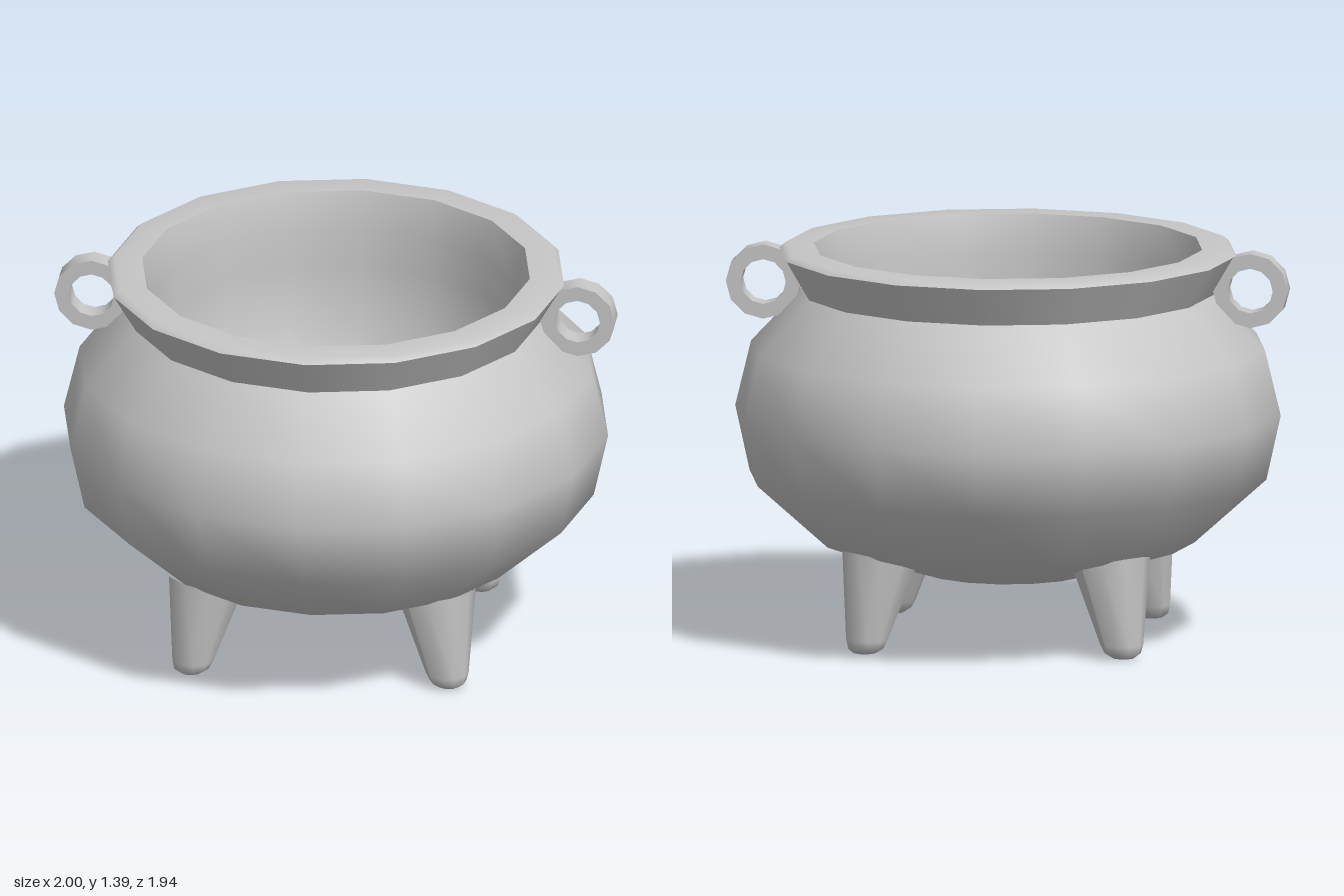
import * as THREE from 'three';
import { toCreasedNormals } from 'three/addons/utils/BufferGeometryUtils.js';

const SIDES = 16;

function lathe(points, sides = SIDES) {
  return new THREE.LatheGeometry(points.map(([r, y]) => new THREE.Vector2(r, y)), sides);
}

export function createModel() {
  const model = new THREE.Group();
  model.name = 'cauldron';
  const iron = new THREE.MeshStandardMaterial({ color: 0xc6c6c6 });
  iron.name = 'grey iron';

  function add(name, geometry) {
    const mesh = new THREE.Mesh(geometry, iron);
    mesh.name = name;
    model.add(mesh);
    return mesh;
  }

  // Pot: separate lathes keep the neck and rim edges sharp
  add('belly', lathe([[0, 0.208], [0.3, 0.235], [0.662, 0.347], [0.918, 0.577],
    [0.969, 0.808], [0.913, 1.04], [0.73, 1.235]]));
  add('flaredNeck', lathe([[0.73, 1.235], [0.812, 1.376]]));
  add('rimTop', lathe([[0.812, 1.376], [0.79, 1.395], [0.69, 1.395]]));
  add('innerBowl', lathe([[0.69, 1.395], [0.655, 1.26], [0.665, 1.12], [0.64, 0.9],
    [0.56, 0.68], [0.41, 0.5], [0.21, 0.4], [0, 0.37]]));

  // Ring handles on both sides
  const ring = new THREE.Shape();
  ring.absarc(0, 0, 0.133, 0, Math.PI * 2, false);
  const hole = new THREE.Path();
  hole.absarc(0, 0, 0.08, 0, Math.PI * 2, true);
  ring.holes.push(hole);
  const ringGeometry = toCreasedNormals(new THREE.ExtrudeGeometry(ring,
    { depth: 0.08, bevelEnabled: false, curveSegments: 6 }), 0.8);
  ringGeometry.translate(0, 0, -0.04);
  for (const side of [-1, 1]) {
    add(side > 0 ? 'leftHandle' : 'rightHandle', ringGeometry).position.set(side * 0.865, 1.258, 0);
  }

  // Tapered leg leaning inward (local -x), its top sloped to sit inside the belly wall
  const legGeometry = lathe([[0, 0], [0.04, 0.004], [0.064, 0.02], [0.076, 0.05], [0.135, 0.33]], 10);
  const p = legGeometry.attributes.position;
  for (let i = 0; i < p.count; i++) {
    const x = p.getX(i), y = p.getY(i);
    p.setX(i, x - 0.2 * y);
    if (y > 0.3) p.setY(i, y + 0.3 * x);
  }
  legGeometry.computeVertexNormals();
  for (const sx of [-1, 1]) {
    for (const sz of [-1, 1]) {
      const leg = add((sz > 0 ? 'front' : 'back') + (sx > 0 ? 'Left' : 'Right') + 'Leg', legGeometry);
      leg.position.set(sx * 0.46, 0, sz * 0.43);
      leg.rotation.y = Math.atan2(-sz, sx);
    }
  }

  return model;
}
